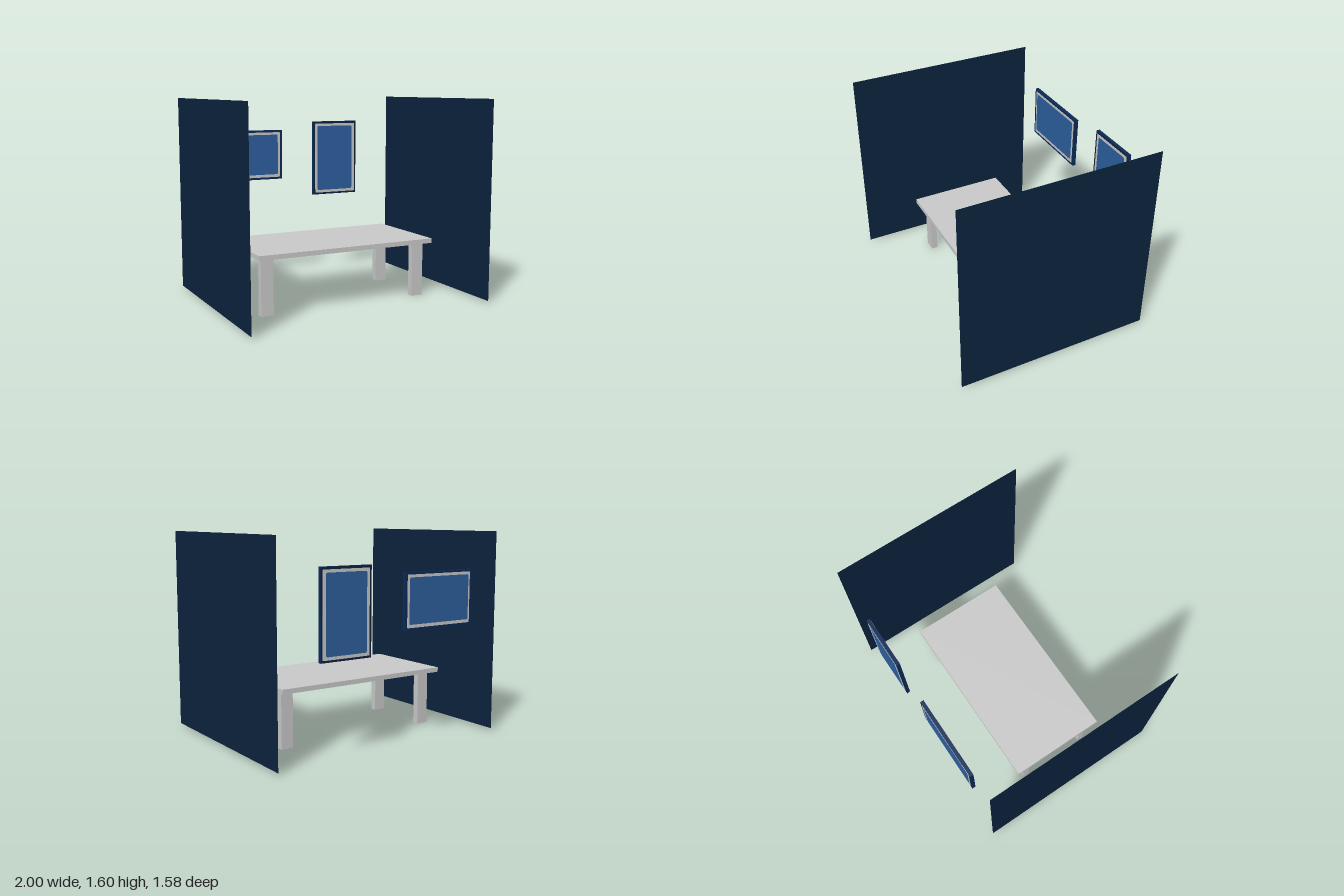
import * as THREE from 'three';

const mat = (name, color, side = THREE.FrontSide) => {
  const m = new THREE.MeshStandardMaterial({ color, side });
  m.name = name;
  return m;
};

// Box given by its limits on each axis
function box(name, [x0, x1], [y0, y1], [z0, z1], material) {
  const mesh = new THREE.Mesh(new THREE.BoxGeometry(x1 - x0, y1 - y0, z1 - z0), material);
  mesh.position.set((x0 + x1) / 2, (y0 + y1) / 2, (z0 + z1) / 2);
  mesh.name = name;
  return mesh;
}

function roundedRect(Type, [x0, x1], [y0, y1], r) {
  const s = new Type();
  s.moveTo(x0 + r, y0);
  s.lineTo(x1 - r, y0);
  s.quadraticCurveTo(x1, y0, x1, y0 + r);
  s.lineTo(x1, y1 - r);
  s.quadraticCurveTo(x1, y1, x1 - r, y1);
  s.lineTo(x0 + r, y1);
  s.quadraticCurveTo(x0, y1, x0, y1 - r);
  s.lineTo(x0, y0 + r);
  s.quadraticCurveTo(x0, y0, x0 + r, y0);
  return s;
}

export function createModel() {
  const grey = mat('light grey', 0xc9c9c9);
  const navy = mat('dark navy', 0x0c233d);
  const wallNavy = mat('wall navy', 0x0c233d, THREE.DoubleSide);
  const frameBlue = mat('frame blue', 0x0a2a58);
  const screenBlue = mat('screen blue', 0x2d609e);
  const model = new THREE.Group();
  model.name = 'meetingBooth';

  // Paper-thin side walls
  for (const side of [-1, 1]) {
    const wall = new THREE.Mesh(new THREE.PlaneGeometry(1.58, 1.585), wallNavy);
    wall.rotation.y = side * Math.PI / 2;
    wall.position.set(side, 0.8075, 0);
    wall.name = side > 0 ? 'leftWall' : 'rightWall';
    model.add(wall);
  }

  // Table
  const table = new THREE.Group();
  table.name = 'table';
  table.add(box('tableTop', [-0.78, 0.72], [0.44, 0.477], [-0.385, 0.4], grey));
  for (const x of [-0.74, 0.58])
    for (const z of [-0.3, 0.277])
      table.add(box('tableLeg', [x, x + 0.1], [0, 0.44], [z, z + 0.053], grey));
  model.add(table);

  // Hanging panels: frame with a bezel and a screen on both faces
  const zBack = -0.789, zFront = -0.761;
  function panel(name, fx, fy, gx, gy, sx, sy, faceMaterial) {
    const g = new THREE.Group();
    g.name = name;
    const edges = Array(4).fill(frameBlue);
    g.add(box('frame', fx, fy, [zBack, zFront], [...edges, faceMaterial, faceMaterial]));

    const bezel = roundedRect(THREE.Shape, gx, gy, 0.006);
    bezel.holes.push(roundedRect(THREE.Path, sx, sy, 0.015));
    const parts = [['bezel', bezel, grey],
      ['screen', roundedRect(THREE.Shape, sx, sy, 0.015), screenBlue]];
    for (const [part, shape, material] of parts) {
      const geometry = new THREE.ExtrudeGeometry(shape,
        { depth: zFront - zBack + 0.004, bevelEnabled: false, curveSegments: 5 });
      const mesh = new THREE.Mesh(geometry, material);
      mesh.position.z = zBack - 0.002;
      mesh.name = part;
      g.add(mesh);
    }
    model.add(g);
  }
  panel('widePanel', [-0.742, -0.083], [0.887, 1.316],
    [-0.722, -0.104], [0.905, 1.298], [-0.708, -0.124], [0.929, 1.277], frameBlue);
  panel('tallPanel', [0.225, 0.655], [0.724, 1.383],
    [0.242, 0.64], [0.74, 1.364], [0.265, 0.613], [0.763, 1.342], navy);

  return model;
}
